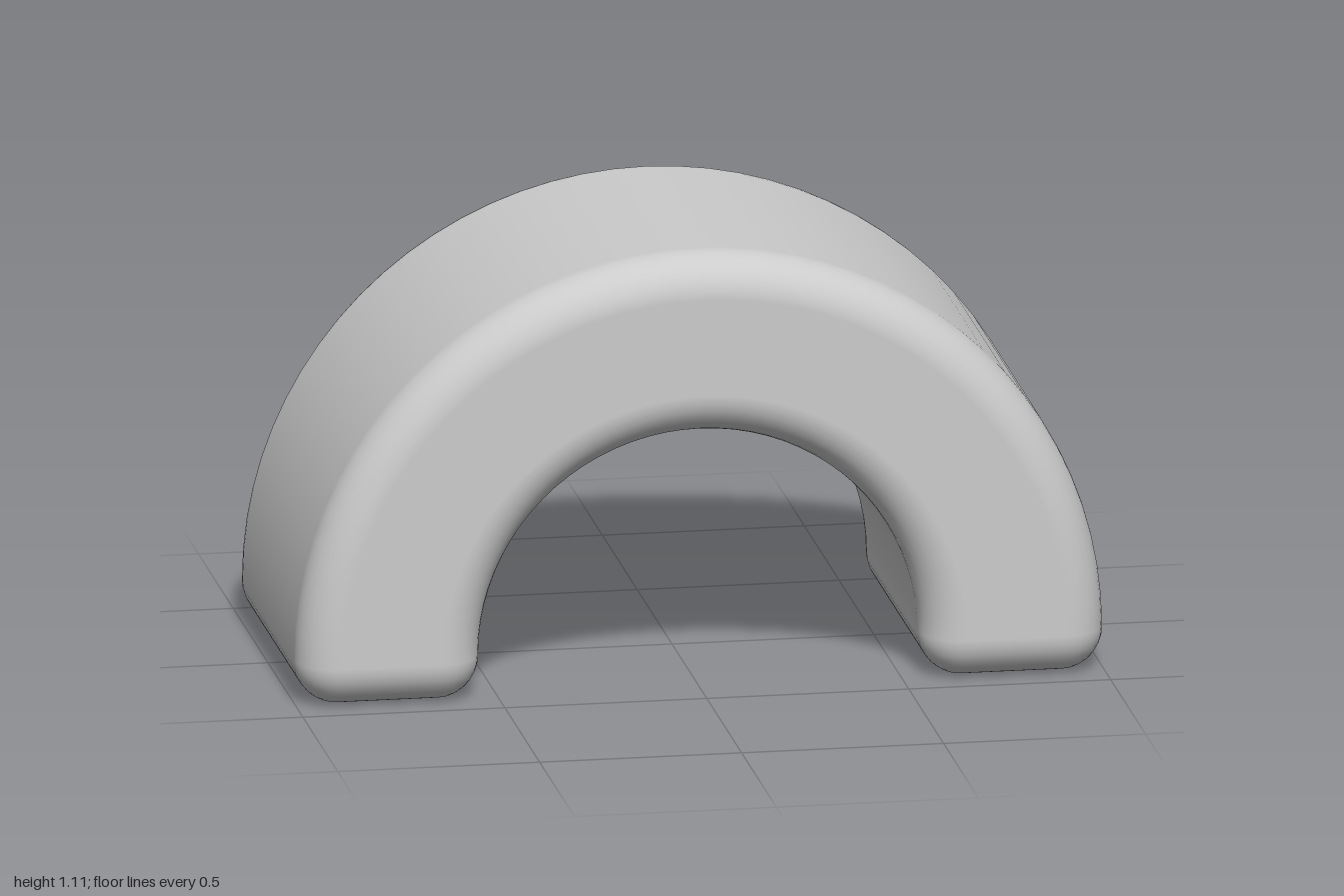
import * as THREE from 'three';

const OUTER = 1, INNER = 0.545, HALF_DEPTH = 0.473; // arch size
const ROUND = 0.106;                                // edge rounding radius
const ARC_STEPS = 40, ROUND_STEPS = 8;

// Half ring with a rounded-rectangle section; both feet are rounded off too.
function roundedArchGeometry() {
  // stations along the arch: angle, and tilt of the normal toward the foot
  const stations = [];
  for (let i = 0; i < ROUND_STEPS; i++) stations.push([0, (i / ROUND_STEPS - 1) * Math.PI / 2]);
  for (let i = 0; i <= ARC_STEPS; i++) stations.push([Math.PI * i / ARC_STEPS, 0]);
  for (let i = 1; i <= ROUND_STEPS; i++) stations.push([Math.PI, i / ROUND_STEPS * Math.PI / 2]);

  const positions = [], normals = [], indices = [];
  const ro = OUTER - ROUND, ri = INNER + ROUND, h = HALF_DEPTH - ROUND;
  const corners = [[ro, h], [ri, h], [ri, -h], [ro, -h]];
  const perCorner = ROUND_STEPS + 1, ring = 4 * perCorner;

  for (const [theta, tilt] of stations) {
    const c = Math.cos(theta), s = Math.sin(theta);
    corners.forEach(([radius, z], q) => {
      for (let k = 0; k < perCorner; k++) {
        const a = (q + k / ROUND_STEPS) * Math.PI / 2;
        const nr = Math.cos(a) * Math.cos(tilt), nz = Math.sin(a) * Math.cos(tilt), nt = Math.sin(tilt);
        const n = [c * nr - s * nt, s * nr + c * nt, nz];
        normals.push(...n);
        positions.push(c * radius + n[0] * ROUND, s * radius + n[1] * ROUND + ROUND, z + n[2] * ROUND);
      }
    });
  }

  // skin between neighbouring stations
  for (let j = 0; j < stations.length - 1; j++) {
    for (let k = 0; k < ring; k++) {
      const k2 = (k + 1) % ring;
      const a = j * ring + k, b = a + ring, d = j * ring + k2, e = d + ring;
      indices.push(a, b, e, a, e, d);
    }
  }

  // flat soles of the two feet
  const [p, q, r, t] = [0, 1, 2, 3].map(i => i * perCorner);
  const end = (stations.length - 1) * ring;
  indices.push(p, q, r, p, r, t);
  indices.push(end + p, end + r, end + q, end + p, end + t, end + r);

  const geometry = new THREE.BufferGeometry();
  geometry.setAttribute('position', new THREE.Float32BufferAttribute(positions, 3));
  geometry.setAttribute('normal', new THREE.Float32BufferAttribute(normals, 3));
  geometry.setIndex(indices);
  return geometry;
}

export function createModel() {
  const group = new THREE.Group();
  group.name = 'archBlock';
  const arch = new THREE.Mesh(roundedArchGeometry(), new THREE.MeshStandardMaterial({ color: 0xcccccc }));
  arch.name = 'roundedArch';
  group.add(arch);
  return group;
}
